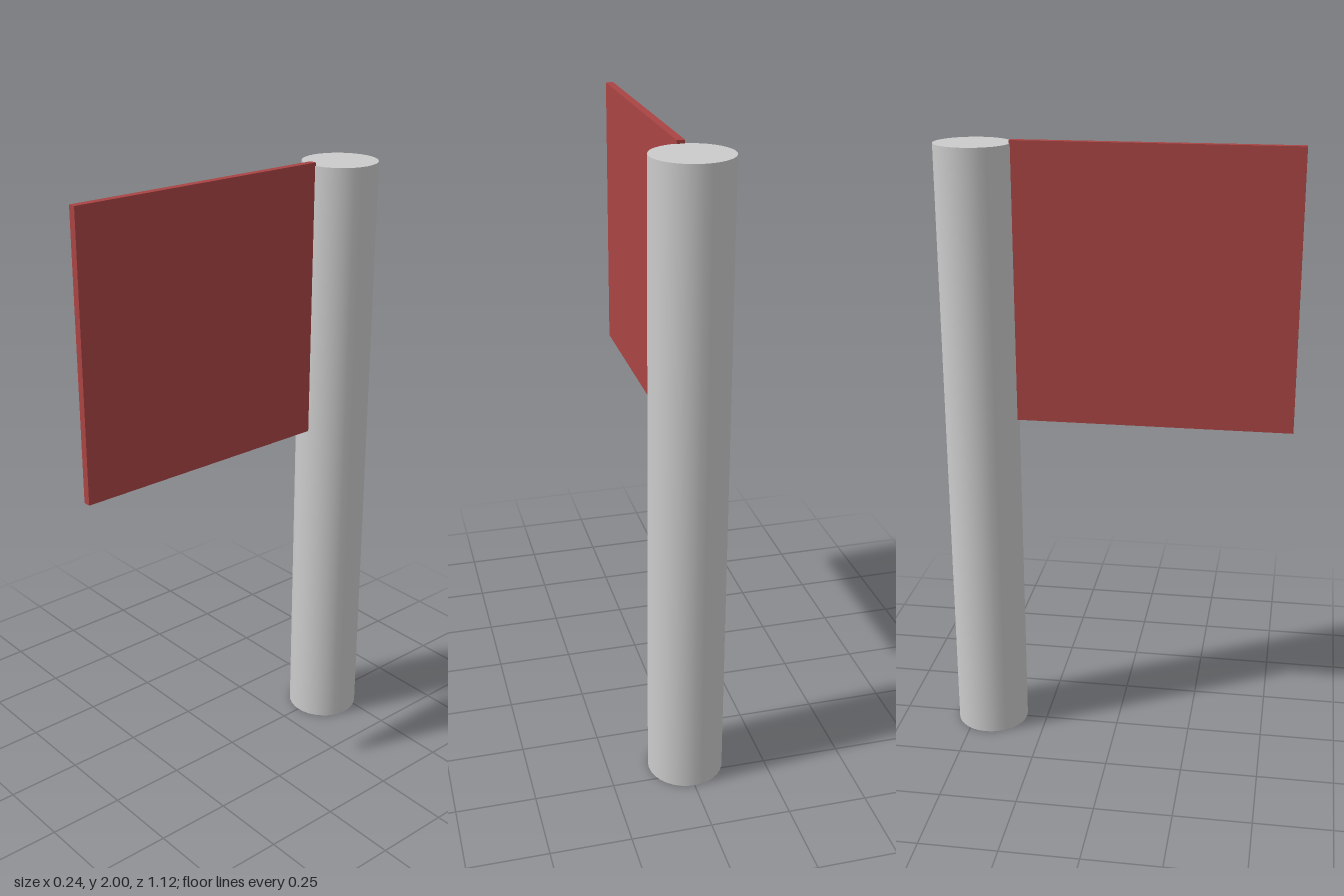
import * as THREE from 'three';

export function createModel() {
  const model = new THREE.Group();
  model.name = 'flagOnPole';

  const add = (name, geometry, color, x, y, z) => {
    const mesh = new THREE.Mesh(geometry, new THREE.MeshStandardMaterial({ color }));
    mesh.name = name;
    mesh.position.set(x, y, z);
    model.add(mesh);
  };

  // Round upright pole at the back
  const poleRadius = 0.12, poleHeight = 1.99;
  add('pole', new THREE.CylinderGeometry(poleRadius, poleRadius, poleHeight, 32),
    0xcccccc, 0, poleHeight / 2, -0.441);

  // Thin square flag reaching forward, rising just above the pole top
  const flagSize = 0.886;
  add('flag', new THREE.BoxGeometry(0.024, flagSize, flagSize),
    0xaa4444, 0, 2 - flagSize / 2, 0.561 - flagSize / 2);

  return model;
}
